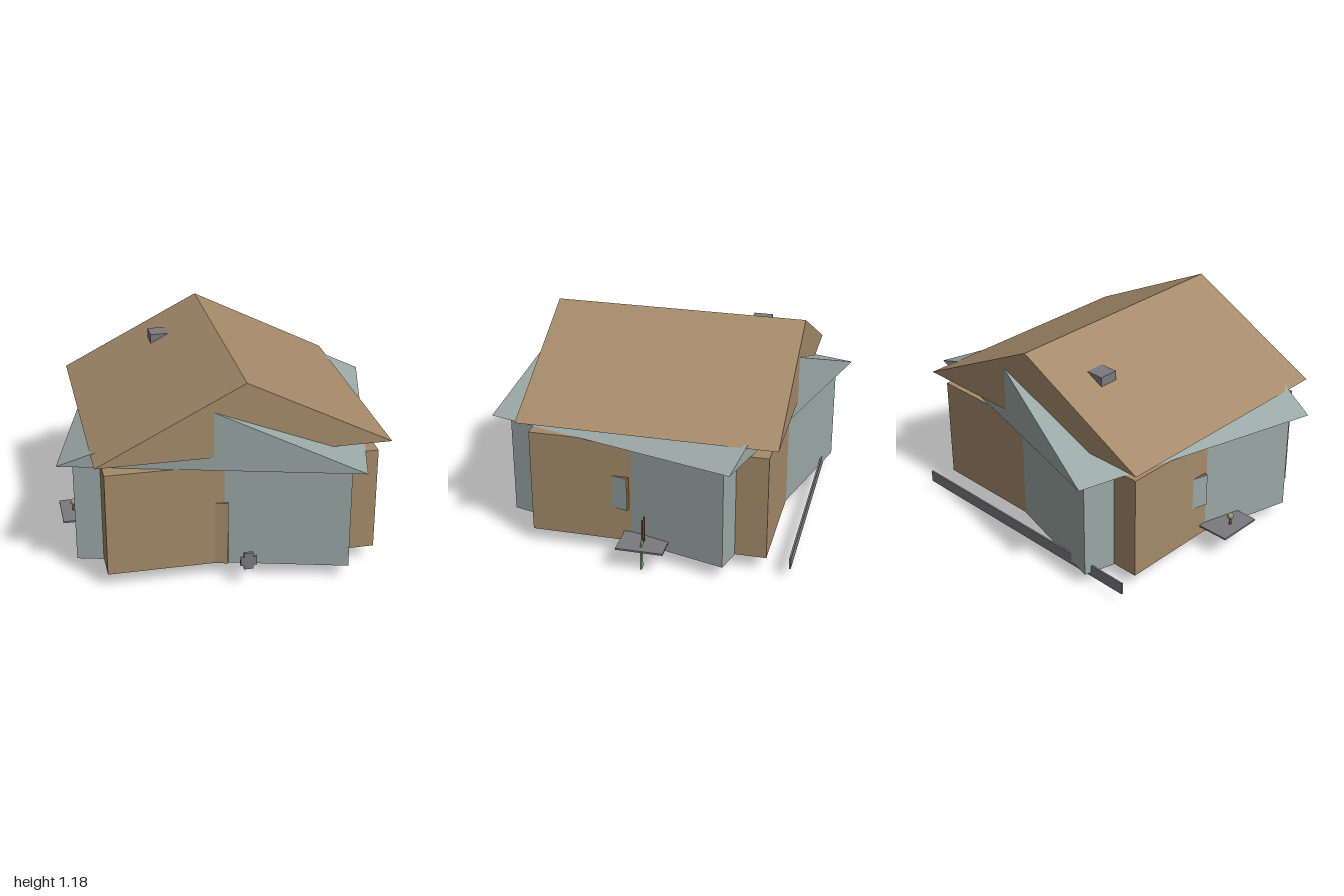
import * as THREE from 'three';

function mat(name, color) {
  const m = new THREE.MeshStandardMaterial({ color });
  m.name = name;
  return m;
}

export function createModel() {
  const model = new THREE.Group();
  model.name = 'house';

  const brown = mat('warm brown', 0xa48a69);
  const slate = mat('pale slate', 0x9aa8a5);
  const stone = mat('stone grey', 0x7a7a7c);
  const wood = mat('dark wood', 0x7a5533);
  const green = mat('leaf green', 0x7fae82);

  function add(parent, name, geometry, material, x = 0, y = 0, z = 0) {
    const mesh = new THREE.Mesh(geometry, material);
    mesh.name = name;
    mesh.position.set(x, y, z);
    parent.add(mesh);
    return mesh;
  }

  // Box given by its lower and upper limits on each axis
  function box(parent, name, material, [x0, x1], [y0, y1], [z0, z1]) {
    const geometry = new THREE.BoxGeometry(x1 - x0, y1 - y0, z1 - z0);
    return add(parent, name, geometry, material, (x0 + x1) / 2, (y0 + y1) / 2, (z0 + z1) / 2);
  }

  // Closed gable roof with its ridge along z
  function gableRoof(parent, name, material, halfX, halfZ, base, top) {
    const shape = new THREE.Shape([
      new THREE.Vector2(-halfX, base),
      new THREE.Vector2(halfX, base),
      new THREE.Vector2(0, top),
    ]);
    const geometry = new THREE.ExtrudeGeometry(shape, { depth: 2 * halfZ, bevelEnabled: false });
    add(parent, name, geometry, material, 0, 0, -halfZ);
  }

  // Straight wing
  const mainWing = new THREE.Group();
  mainWing.name = 'mainWing';
  model.add(mainWing);
  box(mainWing, 'mainWalls', brown, [-0.76, 0.76], [0.083, 0.69], [-0.665, 0.665]);
  gableRoof(mainWing, 'mainRoof', brown, 0.815, 0.72, 0.765, 1.18);
  box(mainWing, 'chimney', stone, [-0.335, -0.23], [0.95, 1.065], [-0.48, -0.37]);

  // Second wing, turned through the first
  const turnedWing = new THREE.Group();
  turnedWing.name = 'turnedWing';
  turnedWing.rotation.y = -Math.PI / 12;
  model.add(turnedWing);
  box(turnedWing, 'turnedWalls', slate, [-0.757, 0.757], [0.08, 0.69], [-0.67, 0.67]);
  gableRoof(turnedWing, 'turnedRoof', slate, 0.834, 0.741, 0.69, 1.035);
  box(turnedWing, 'door', brown, [-0.09, 0.09], [0.082, 0.46], [0.65, 0.684]);

  // Side windows: wooden frame behind a thin pane
  for (const side of [-1, 1]) {
    const frame = new THREE.BoxGeometry(0.04, 0.195, 0.194);
    const pane = new THREE.BoxGeometry(0.004, 0.195, 0.194);
    add(turnedWing, 'windowFrame', frame, wood, side * 0.762, 0.383, 0);
    add(turnedWing, 'windowPane', pane, slate, side * 0.784, 0.383, 0);
  }

  // Side ledges
  for (const side of [-1, 1]) {
    add(model, 'ledge', new THREE.BoxGeometry(0.27, 0.01, 0.264), stone, side * 0.812, 0.137, 0);
  }

  // Posts and plant on the left ledge
  for (const x of [0.832, 0.87]) {
    add(model, 'post', new THREE.BoxGeometry(0.009, 0.148, 0.009), wood, x, 0.214, 0);
  }
  box(model, 'plant', green, [0.871, 0.906], [0, 0.17], [-0.004, 0.004]);

  // Knob on the right ledge
  add(model, 'knobStem', new THREE.CylinderGeometry(0.008, 0.008, 0.05, 10), wood, -0.873, 0.165, 0);
  add(model, 'knob', new THREE.SphereGeometry(0.019, 14, 10), brown, -0.873, 0.195, 0);

  // Cross-shaped plate in front
  const cross = new THREE.Shape();
  const w = 0.045, n = 0.026;
  [[-n, -0.05], [n, -0.05], [n, -n], [w, -n], [w, n], [n, n], [n, 0.05],
    [-n, 0.05], [-n, n], [-w, n], [-w, -n], [-n, -n]]
    .forEach(([x, y], i) => (i ? cross.lineTo(x, y) : cross.moveTo(x, y)));
  cross.closePath();
  add(model, 'frontCross', new THREE.ExtrudeGeometry(cross, { depth: 0.016, bevelEnabled: false }),
    stone, 0, 0.156, 0.787);

  // Low rail at the back
  box(model, 'backRail', stone, [-0.795, 0.793], [0.055, 0.125], [-0.805, -0.795]);

  return model;
}
